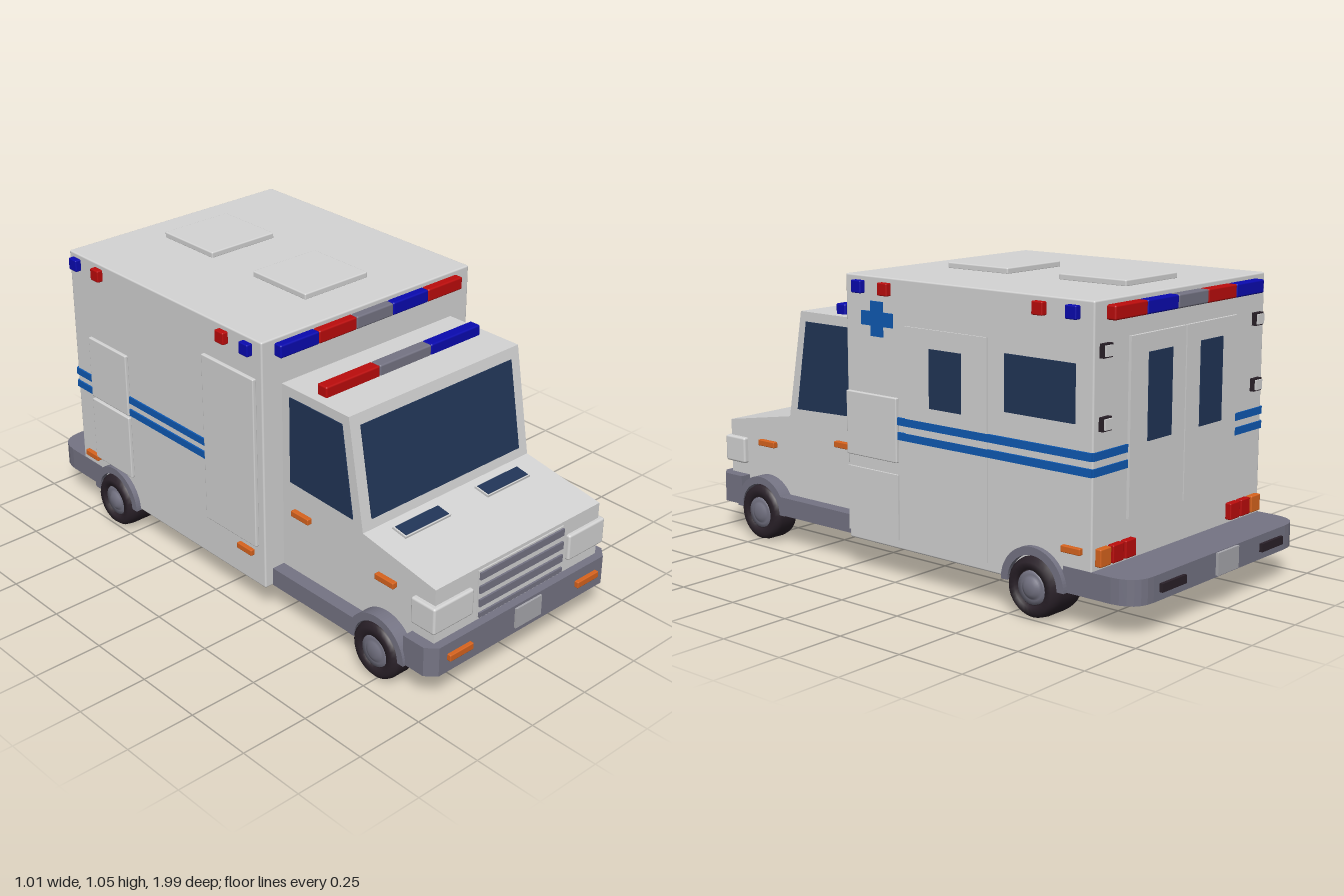
import * as THREE from 'three';
import { RoundedBoxGeometry } from 'three/addons/geometries/RoundedBoxGeometry.js';

const mat = (name, color) => {
  const m = new THREE.MeshStandardMaterial({ color });
  m.name = name;
  return m;
};

export function createModel() {
  const root = new THREE.Group();
  root.name = 'ambulance';
  const white = mat('bodyWhite', 0xd4d4d4);
  const grey = mat('trimGrey', 0x757484);
  const glass = mat('glass', 0x213557);
  const red = mat('lampRed', 0xbc0c0c);
  const blue = mat('lampBlue', 0x0a0ab0);
  const stripe = mat('stripeBlue', 0x0f5ab4);
  const orange = mat('markerOrange', 0xd8641e);
  const tyre = mat('tyreBlack', 0x2a2129);
  const plate = mat('plateSilver', 0xa9a9ae);

  const add = (name, geo, m, parent = root) => {
    const mesh = new THREE.Mesh(geo, m);
    mesh.name = name;
    parent.add(mesh);
    return mesh;
  };
  // Box given by its ranges; r > 0 rounds the edges
  const box = (name, m, [x0, x1], [y0, y1], [z0, z1], r = 0) => {
    const s = [x1 - x0, y1 - y0, z1 - z0];
    const geo = r ? new RoundedBoxGeometry(...s, 2, r) : new THREE.BoxGeometry(...s);
    geo.translate((x0 + x1) / 2, (y0 + y1) / 2, (z0 + z1) / 2);
    return add(name, geo, m);
  };
  // Box on a side wall: sticks out from x = base by t on side s
  const sideBox = (name, m, s, base, t, y, z, r = 0) =>
    box(name, m, s > 0 ? [base - 0.002, base + t] : [-base - t, -base + 0.002], y, z, r);
  const shapeOf = (pts) => new THREE.Shape(pts.map(([a, b]) => new THREE.Vector2(a, b)));
  // Extrude a [z, y] profile between two x values
  const sideExtrude = (shape, x0, x1) => {
    const geo = new THREE.ExtrudeGeometry(shape, { depth: x1 - x0, bevelEnabled: false, curveSegments: 20 });
    return geo.rotateY(-Math.PI / 2).translate(x1, 0, 0);
  };
  // Extrude an [x, -z] outline upwards
  const slab = (shape, y0, y1) => {
    const geo = new THREE.ExtrudeGeometry(shape, { depth: y1 - y0, bevelEnabled: false, curveSegments: 6 });
    return geo.rotateX(-Math.PI / 2).translate(0, y0, 0);
  };

  // Rear compartment and cab
  const W = 0.473, C = 0.39;
  box('rearCompartment', white, [-W, W], [0.115, 1.033], [-0.81, 0.24], 0.006);
  add('cab', sideExtrude(shapeOf([[0.2, 0.115], [0.95, 0.115], [0.95, 0.42],
    [0.625, 0.475], [0.555, 0.865], [0.2, 0.865]]), -C, C), white);
  for (const z of [-0.68, -0.19]) box('roofHatch', white, [-0.145, 0.14], [1.03, 1.053], [z, z + 0.27], 0.005);

  // Cab glass
  const screen = add('windscreen', new THREE.BoxGeometry(0.695, 0.32, 0.008), glass);
  screen.position.set(0, 0.668, 0.591);
  screen.rotation.x = -0.178;
  const sideWindow = shapeOf([[0.58, 0.508], [0.527, 0.83], [0.28, 0.83], [0.28, 0.518]]);
  add('cabWindowLeft', sideExtrude(sideWindow, C - 0.003, C + 0.004), glass);
  add('cabWindowRight', sideExtrude(sideWindow, -C - 0.004, -C + 0.003), glass);

  // Hood vents
  for (const x of [-0.19, 0.193]) {
    const vent = new THREE.Group();
    vent.name = 'hoodVent';
    vent.position.set(x, 0.465, 0.69);
    vent.rotation.x = 0.168;
    add('ventFrame', new THREE.BoxGeometry(0.208, 0.014, 0.062), white, vent);
    add('ventOpening', new THREE.BoxGeometry(0.196, 0.004, 0.052), glass, vent).position.y = 0.007;
    root.add(vent);
  }

  // Grille and headlights
  box('grilleFrame', white, [-0.2, 0.205], [0.23, 0.408], [0.94, 0.955]);
  for (const [a, b] of [[0.235, 0.252], [0.275, 0.302], [0.325, 0.352], [0.376, 0.402]])
    box('grilleSlat', grey, [-0.197, 0.202], [a, b], [0.95, 0.962]);
  for (const s of [-1, 1]) {
    const x = [0.228, 0.408].map((v) => v * s).sort((a, b) => a - b);
    box('headlight', white, x, [0.265, 0.362], [0.86, 0.965], 0.008);
  }

  // Bumpers, with chamfered front and rounded rear corners
  add('frontBumper', slab(shapeOf([[-0.43, -0.855], [-0.43, -0.945], [-0.395, -0.98],
    [0.395, -0.98], [0.43, -0.945], [0.43, -0.855]].reverse()), 0.115, 0.222), grey);
  const rear = new THREE.Shape();
  rear.moveTo(-0.475, 0.7);
  rear.lineTo(0.475, 0.7);
  rear.lineTo(0.475, 0.885);
  rear.quadraticCurveTo(0.47, 0.978, 0.38, 0.978);
  rear.lineTo(-0.38, 0.978);
  rear.quadraticCurveTo(-0.47, 0.978, -0.475, 0.885);
  add('rearBumper', slab(rear, 0.113, 0.197), grey);
  box('frontPlate', plate, [-0.046, 0.077], [0.137, 0.212], [0.975, 0.988]);
  box('rearPlate', plate, [-0.08, 0.04], [0.12, 0.195], [-0.988, -0.97]);
  for (const s of [-1, 1]) {
    const c = 0.306 * s, d = 0.285 * s;
    box('frontIndicator', orange, [c - 0.053, c + 0.053], [0.16, 0.184], [0.975, 0.995], 0.003);
    box('bumperPad', tyre, [d - 0.065, d + 0.065], [0.14, 0.168], [-0.99, -0.97]);
  }

  // Running boards, wheel arches and wheels
  const tyreProfile = [[0.055, -0.5], [0.085, -0.5], [0.098, -0.4], [0.102, -0.25],
    [0.102, 0.25], [0.098, 0.4], [0.085, 0.5], [0.062, 0.5], [0.058, 0.38]];
  const hubProfile = [[0.06, 0.3], [0.055, 0.44], [0.042, 0.42], [0.034, 0.46], [0.02, 0.52], [0, 0.52]];
  const lathe = (pts, w) => new THREE.LatheGeometry(pts.map(([r, h]) => new THREE.Vector2(r, h * w)), 28);
  for (const s of [-1, 1]) {
    sideBox('runningBoard', grey, s, 0.37, 0.07, [0.115, 0.182], [0.24, 0.64]);
    for (const [z, inner, outer, archIn, archOut] of
      [[0.74, 0.345, 0.45, 0.37, 0.44], [-0.59, 0.345, 0.503, 0.46, 0.493]]) {
      const arch = new THREE.Shape();
      arch.absarc(z, 0.113, 0.127, 0, Math.PI, false);
      arch.absarc(z, 0.113, 0.1, Math.PI, 0, true);
      const [a, b] = s > 0 ? [archIn, archOut] : [-archOut, -archIn];
      add('wheelArch', sideExtrude(arch, a, b), grey);
      const wheel = new THREE.Group();
      wheel.name = 'wheel';
      const w = outer - inner;
      add('tyre', lathe(tyreProfile, w), tyre, wheel);
      add('hub', lathe(hubProfile, w), grey, wheel);
      add('innerDisc', new THREE.CylinderGeometry(0.06, 0.06, w * 0.9, 24), tyre, wheel).position.y = -w * 0.04;
      wheel.rotation.z = -s * Math.PI / 2;
      wheel.position.set(s * (inner + outer) / 2, 0.107, z);
      root.add(wheel);
    }
  }

  // Light bars
  const bar = [blue, red, grey, blue, red];
  bar.forEach((m, i) => {
    const x = [-0.418 + i * 0.166, -0.252 + i * 0.166];
    box('frontLightBar', m, x, [0.97, 1.016], [0.23, 0.27], 0.006);
    box('rearLightBar', m, x, [0.97, 1.016], [-0.843, -0.8], 0.006);
  });
  [red, grey, blue].forEach((m, i) =>
    box('cabLightBar', m, [-0.355 + i * 0.236, -0.119 + i * 0.236], [0.86, 0.902], [0.37, 0.415], 0.006));

  // Corner lamps and side markers
  for (const s of [-1, 1]) {
    const back = s > 0 ? [[-0.605, red], [-0.735, blue]] : [[-0.635, red], [-0.765, blue]];
    for (const [z, m] of [[0.173, blue], [0.052, red], ...back])
      sideBox('cornerLamp', m, s, W, 0.022, [0.973, 1.016], [z - 0.022, z + 0.022], 0.004);
    for (const [z, y] of [[0.74, 0.358], [0.34, 0.411]])
      sideBox('cabMarker', orange, s, C, 0.018, [y - 0.011, y + 0.011], [z - 0.042, z + 0.042], 0.003);
    const my = s > 0 ? 0.256 : 0.235;
    sideBox('rearMarker', orange, s, W, 0.016, [my - 0.011, my + 0.011], [-0.775, -0.7], 0.003);
  }
  sideBox('lowerMarker', orange, -1, W, 0.016, [0.224, 0.246], [0.11, 0.185], 0.003);

  // Left wall: lockers, door, windows and cross
  sideBox('upperLocker', white, 1, W, 0.014, [0.415, 0.636], [0, 0.234], 0.004);
  sideBox('lowerLocker', white, 1, W, 0.008, [0.147, 0.373], [0, 0.234]);
  sideBox('sideDoor', white, 1, W, 0.006, [0.145, 0.88], [-0.392, -0.035]);
  sideBox('doorWindow', glass, 1, W, 0.009, [0.62, 0.817], [-0.283, -0.145]);
  sideBox('sideWindow', glass, 1, W, 0.005, [0.652, 0.838], [-0.742, -0.462]);
  sideBox('crossBar', stripe, 1, W, 0.005, [0.867, 0.915], [0.022, 0.166]);
  sideBox('crossPost', stripe, 1, W, 0.006, [0.832, 0.95], [0.067, 0.121]);

  // Right wall: lockers
  sideBox('tallLocker', white, -1, W, 0.014, [0.27, 0.897], [-0.055, 0.21], 0.004);
  sideBox('upperRearLocker', white, -1, W, 0.013, [0.495, 0.73], [-0.71, -0.49], 0.004);
  sideBox('lowerRearLocker', white, -1, W, 0.013, [0.24, 0.485], [-0.71, -0.49], 0.004);

  // Stripes on both walls and beside the rear doors
  for (const y of [[0.495, 0.521], [0.545, 0.571]]) {
    sideBox('sideStripe', stripe, 1, W, 0.008, y, [-0.81, 0]);
    sideBox('sideStripe', stripe, -1, W, 0.006, y, [-0.81, -0.05]);
    box('rearStripe', stripe, [0.3, W], y, [-0.815, -0.809]);
    box('rearStripe', stripe, [-W, -0.3], y, [-0.815, -0.809]);
  }

  // Rear doors, tail lamps and scene lamps
  for (const s of [-1, 1]) {
    const rearBox = (name, m, a, b, y, z0, r = 0) =>
      box(name, m, s > 0 ? [a, b] : [-b, -a], y, [z0, -0.808], r);
    rearBox('rearDoor', white, 0.003, 0.298, [0.33, 0.908], -0.82);
    rearBox('rearDoorWindow', glass, 0.08, 0.207, [0.565, 0.848], -0.824);
    [red, red, orange].forEach((m, i) =>
      rearBox('tailLamp', m, 0.27 + i * 0.065, 0.325 + i * 0.065, [0.21, 0.268], -0.832, 0.004));
    for (const y of [0.88, 0.655]) {
      rearBox('sceneLampHousing', tyre, 0.4, 0.446, [y - 0.022, y + 0.022], -0.826);
      rearBox('sceneLamp', white, 0.405, 0.441, [y - 0.017, y + 0.017], -0.833);
    }
  }
  return root;
}
